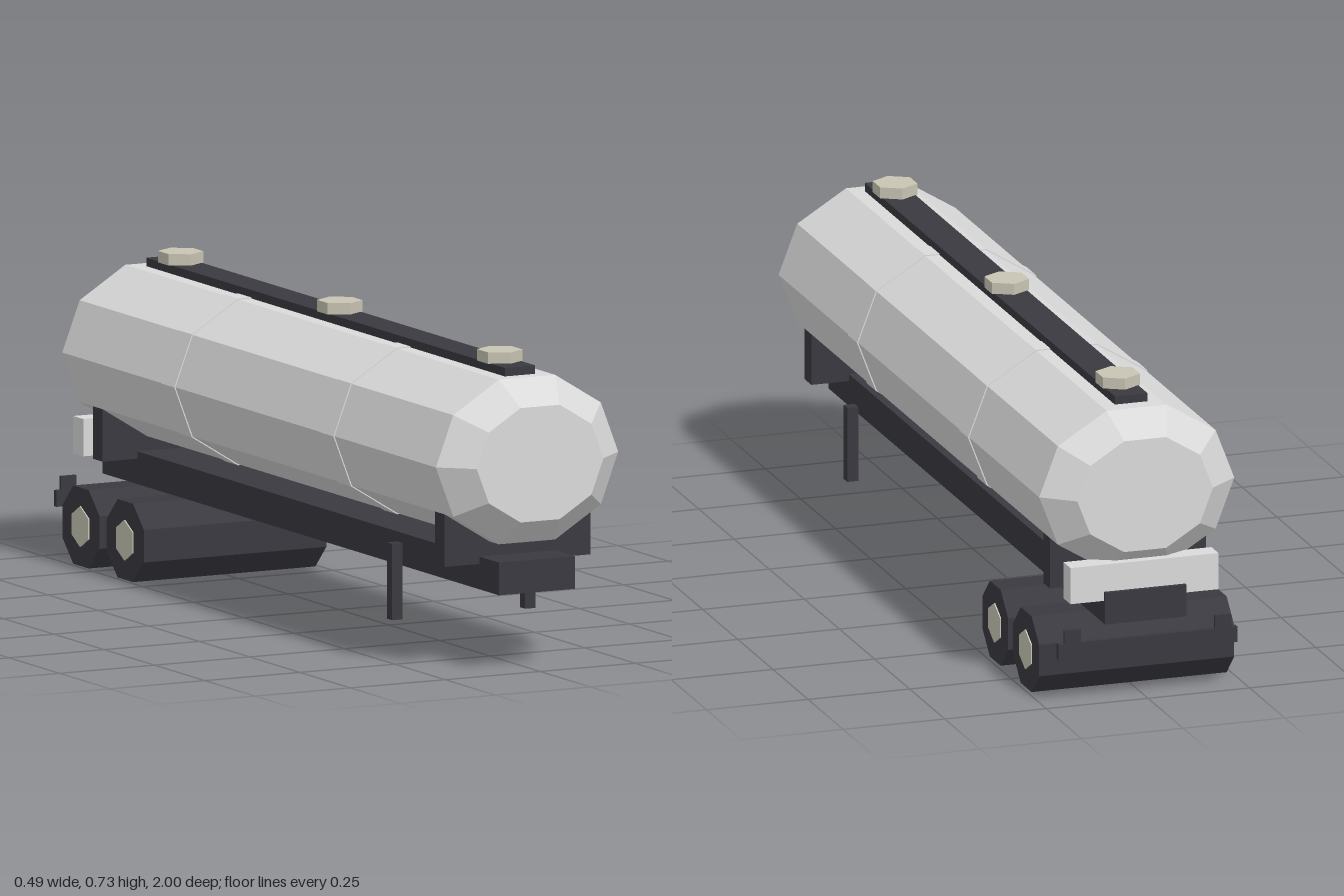
import * as THREE from 'three';

export function createModel() {
  const model = new THREE.Group();
  model.name = 'tankTrailer';
  const mat = (name, color) => {
    const m = new THREE.MeshStandardMaterial({ color, flatShading: true });
    m.name = name;
    return m;
  };
  const silver = mat('tankSilver', 0xdadada);
  const dark = mat('chassisDark', 0x3a3940);
  const beige = mat('hatchBeige', 0xc8c5b4);

  const add = (name, geometry, material, x = 0, y = 0, z = 0) => {
    const mesh = new THREE.Mesh(geometry, material);
    mesh.name = name;
    mesh.position.set(x, y, z);
    model.add(mesh);
    return mesh;
  };
  // Box from its limits on each axis
  const box = (name, material, x0, x1, y0, y1, z0, z1) =>
    add(name, new THREE.BoxGeometry(x1 - x0, y1 - y0, z1 - z0), material,
      (x0 + x1) / 2, (y0 + y1) / 2, (z0 + z1) / 2);

  // Ten-sided tank section along z, slightly wider than tall
  const section = (name, z0, z1, back, front, open) => {
    const g = new THREE.CylinderGeometry(front, back, z1 - z0, 10, 1, open);
    g.rotateY(Math.PI / 2);
    g.rotateX(Math.PI / 2);
    g.scale(0.24, 0.204, 1);
    return add(name, g, silver, 0, 0.49, (z0 + z1) / 2);
  };
  section('tankBody', -0.92, 0.935, 1, 1, true);
  section('tankFrontEnd', 0.935, 1, 1, 0.695, false);
  section('tankRearEnd', -0.98, -0.92, 0.695, 1, false);
  for (const z of [0.4, -0.39]) section('tankBand', z - 0.032, z + 0.032, 1.013, 1.013, false);

  // Walkway and hatches on top
  box('walkway', dark, -0.04, 0.04, 0.683, 0.704, -0.88, 0.9);
  for (const z of [0.8, 0.005, -0.785]) {
    add('hatch', new THREE.CylinderGeometry(0.053, 0.053, 0.027, 6), beige, 0, 0.717, z);
  }

  // Chassis beam, saddles and landing legs
  box('chassis', dark, -0.1, 0.1, 0.185, 0.262, -0.985, 0.985);
  for (const z of [0.864, -0.835]) {
    box('saddle', dark, -0.192, 0.192, 0.245, 0.372, z - 0.024, z + 0.024);
  }
  for (const s of [-1, 1]) {
    const x = s * 0.175;
    box('landingLeg', dark, x - 0.0135, x + 0.0135, 0.08, 0.26, 0.595, 0.621);
  }

  // Wheels with hubs
  for (const z of [-0.607, -0.827]) {
    const wheel = new THREE.CylinderGeometry(0.1, 0.1, 0.48, 8);
    wheel.rotateY(Math.PI / 8);
    wheel.rotateZ(Math.PI / 2);
    add('wheelPair', wheel, dark, 0, 0.0925, z);
    for (const s of [-1, 1]) {
      const hub = new THREE.CylinderGeometry(0.048, 0.048, 0.008, 6);
      hub.rotateY(Math.PI / 2);
      hub.rotateZ(Math.PI / 2);
      add('wheelHub', hub, beige, s * 0.239, 0.0935, z);
    }
  }

  // Rear cabinet and underrun bar with lamp blocks
  box('rearCabinet', silver, -0.182, 0.182, 0.24, 0.328, -0.975, -0.925);
  box('underrunBar', dark, -0.22, 0.22, 0.115, 0.153, -1, -0.986);
  for (const s of [-1, 1]) {
    const x = s * 0.185;
    box('lampBlock', dark, x - 0.02, x + 0.02, 0.15, 0.185, -1, -0.992);
  }
  return model;
}
